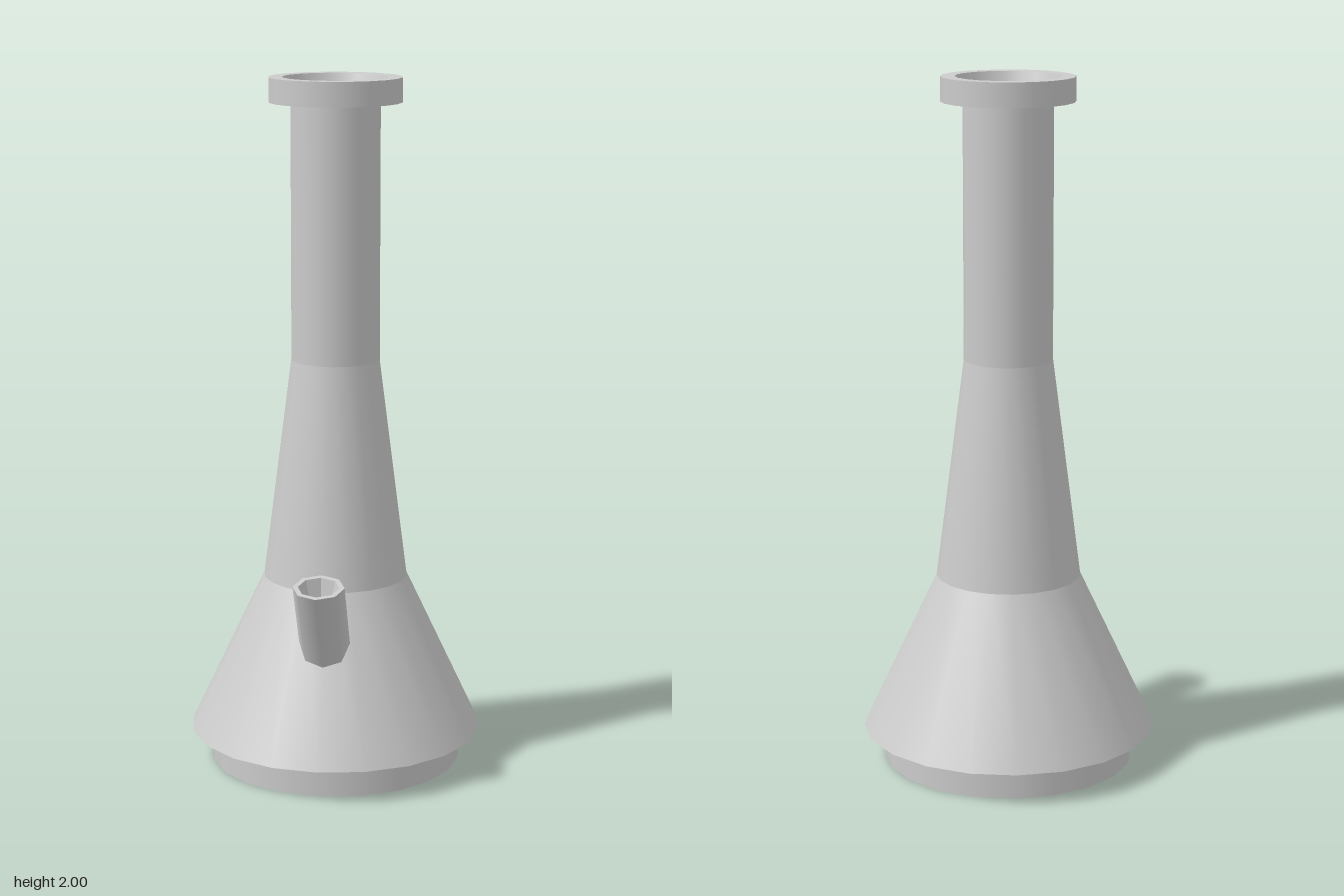
import * as THREE from 'three';

const grey = new THREE.MeshStandardMaterial({ color: 0xcccccc });
const greyFlat = new THREE.MeshStandardMaterial({ color: 0xcccccc, flatShading: true });

// One lathed mesh per profile segment: smooth around, sharp between bands.
function bands(name, profile, sides, material = grey, matrix = null) {
  const group = new THREE.Group();
  group.name = name;
  for (let i = 0; i < profile.length - 1; i++) {
    const pts = [profile[i], profile[i + 1]].map(([r, y]) => new THREE.Vector2(r, y));
    const geo = new THREE.LatheGeometry(pts, sides);
    if (matrix) geo.applyMatrix4(matrix);
    const mesh = new THREE.Mesh(geo, material);
    mesh.name = `${name}Band${i + 1}`;
    group.add(mesh);
  }
  return group;
}

// Axes of a skewed tube: x stays, y runs along the tube, z lies in its rim plane.
function skew(yAxis, zAxis, origin) {
  return new THREE.Matrix4()
    .makeBasis(new THREE.Vector3(1, 0, 0), yAxis, zAxis)
    .setPosition(origin);
}

export function createModel() {
  const model = new THREE.Group();
  model.name = 'flask';

  const vessel = new THREE.Group();
  vessel.name = 'vessel';
  vessel.position.z = -0.02;
  model.add(vessel);

  // Foot with closed underside
  vessel.add(bands('foot', [[0, 0], [0.365, 0], [0.365, 0.095]], 20));
  // Flared body: overhanging underside, cone, tapered shoulder, straight neck
  vessel.add(bands('body', [[0.365, 0.095], [0.427, 0.095], [0.21, 0.555], [0.128, 1.195], [0.128, 1.93]], 20));
  // Mouth collar with tapered recess
  vessel.add(bands('mouth', [[0.128, 1.93], [0.19, 1.93], [0.19, 2], [0.15, 2], [0.107, 1.86], [0, 1.86]], 20));

  // Slanted side stem with an almost level rim
  const rimCentre = new THREE.Vector3(0, 0.625, 0.371);
  const rimDir = new THREE.Vector3(0, -0.2, 0.98);
  const along = skew(new THREE.Vector3(0, 0.838, 0.545), rimDir, rimCentre);
  model.add(bands('stem', [[0, -0.35], [0.073, -0.35], [0.073, 0], [0.058, 0]], 8, grey, along));

  // Faceted bowl sunk into the stem
  const down = skew(new THREE.Vector3(0, 0.98, 0.2), rimDir, rimCentre);
  model.add(bands('stemBowl', [[0.058, 0], [0.038, -0.07], [0, -0.07]], 8, greyFlat, down));

  return model;
}
